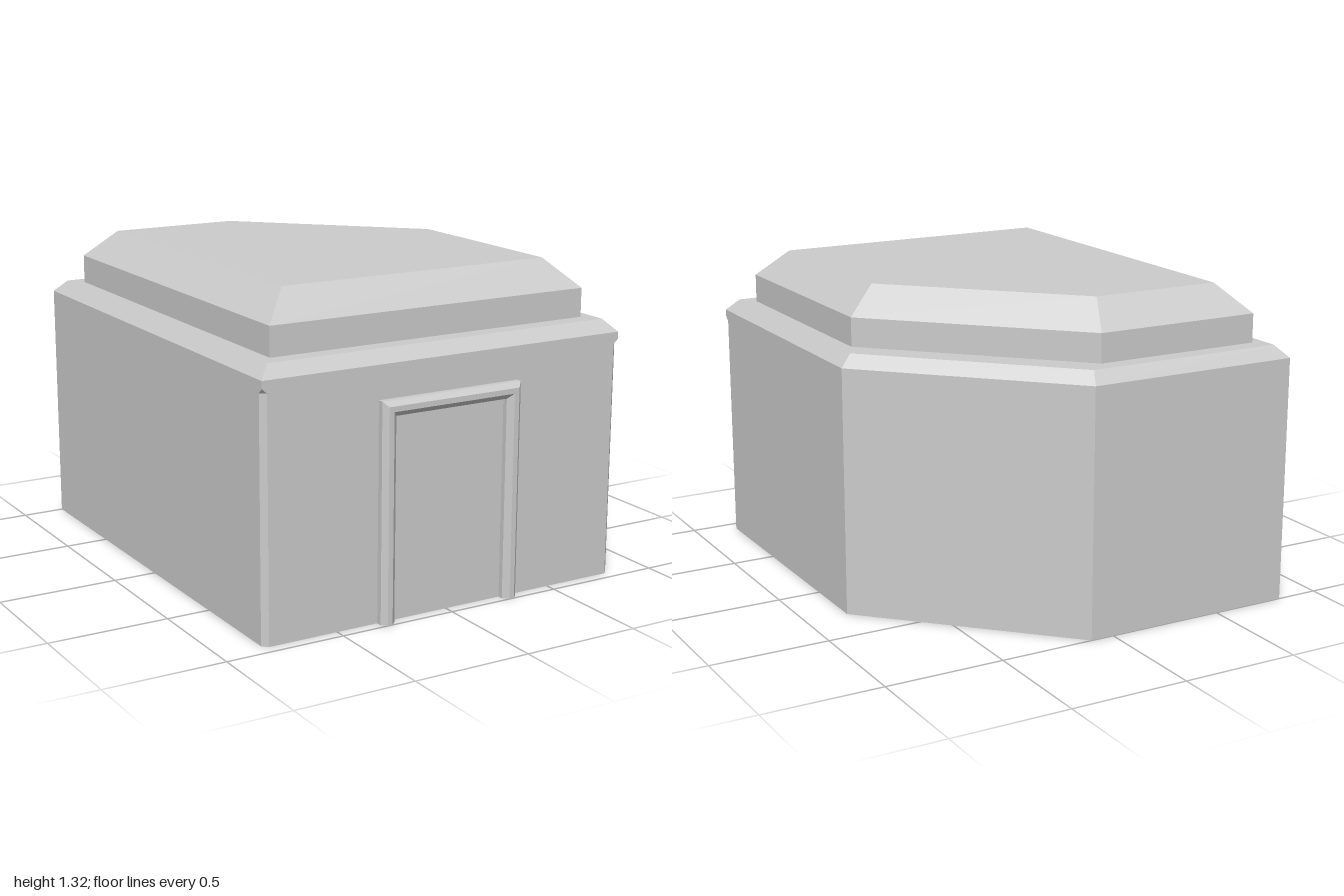
import * as THREE from 'three';

// Skin between equal-length rings of [x, y, z] points, with fan caps on both ends.
function loft(rings, name) {
  const pos = [];
  const tri = (a, b, c) => pos.push(...a, ...b, ...c);
  const n = rings[0].length;
  for (let i = 0; i < rings.length - 1; i++) {
    for (let j = 0; j < n; j++) {
      const k = (j + 1) % n;
      tri(rings[i][j], rings[i][k], rings[i + 1][k]);
      tri(rings[i][j], rings[i + 1][k], rings[i + 1][j]);
    }
  }
  const first = rings[0], last = rings[rings.length - 1];
  for (let j = 1; j < n - 1; j++) {
    tri(first[0], first[j + 1], first[j]);
    tri(last[0], last[j], last[j + 1]);
  }
  const geo = new THREE.BufferGeometry();
  geo.setAttribute('position', new THREE.Float32BufferAttribute(pos, 3));
  geo.computeVertexNormals();
  const mesh = new THREE.Mesh(geo, new THREE.MeshStandardMaterial({ color: 0xcccccc, flatShading: true }));
  mesh.name = name;
  return mesh;
}

// Rectangle with its back left corner cut along x - z = cut; c and d chamfer the front corners.
function plan(y, halfX, front, back, cut, c = 0) {
  return [
    [-halfX, y, front - c], [-halfX + c, y, front],
    [halfX - c, y, front], [halfX, y, front - c],
    [halfX, y, halfX - cut], [cut + back, y, back], [-halfX, y, back],
  ];
}

export function createModel() {
  const group = new THREE.Group();
  group.name = 'building';

  // Walls with stopped corner chamfers, and the bevelled ledge
  group.add(loft([
    plan(0, 0.82, 0.955, -1, 1.1, 0.022),
    plan(0.98, 0.82, 0.955, -1, 1.1, 0.022),
    plan(1.0, 0.82, 0.955, -1, 1.1),
    plan(1.03, 0.82, 0.955, -1, 1.1),
    plan(1.08, 0.772, 0.907, -0.952, 1.03),
  ], 'walls'));

  // Raised roof block with sloping edges
  group.add(loft([
    plan(1.08, 0.72, 0.835, -0.88, 0.88),
    plan(1.2, 0.72, 0.835, -0.88, 0.88),
    plan(1.317, 0.604, 0.719, -0.764, 0.716),
  ], 'roof'));

  // Door frame: bevelled profile [inset, z] carried up, across and down with mitred corners
  const profile = [[0, 0.95], [0, 0.98], [0.02, 1], [0.042, 1], [0.064, 0.978], [0.064, 0.95]];
  const path = [[-1, 0], [-1, 1], [1, 1], [1, 0]];
  group.add(loft(path.map(([side, up]) =>
    profile.map(([inset, z]) => [side * (0.32 - inset), up * (0.893 - inset), z])), 'doorFrame'));

  return group;
}
